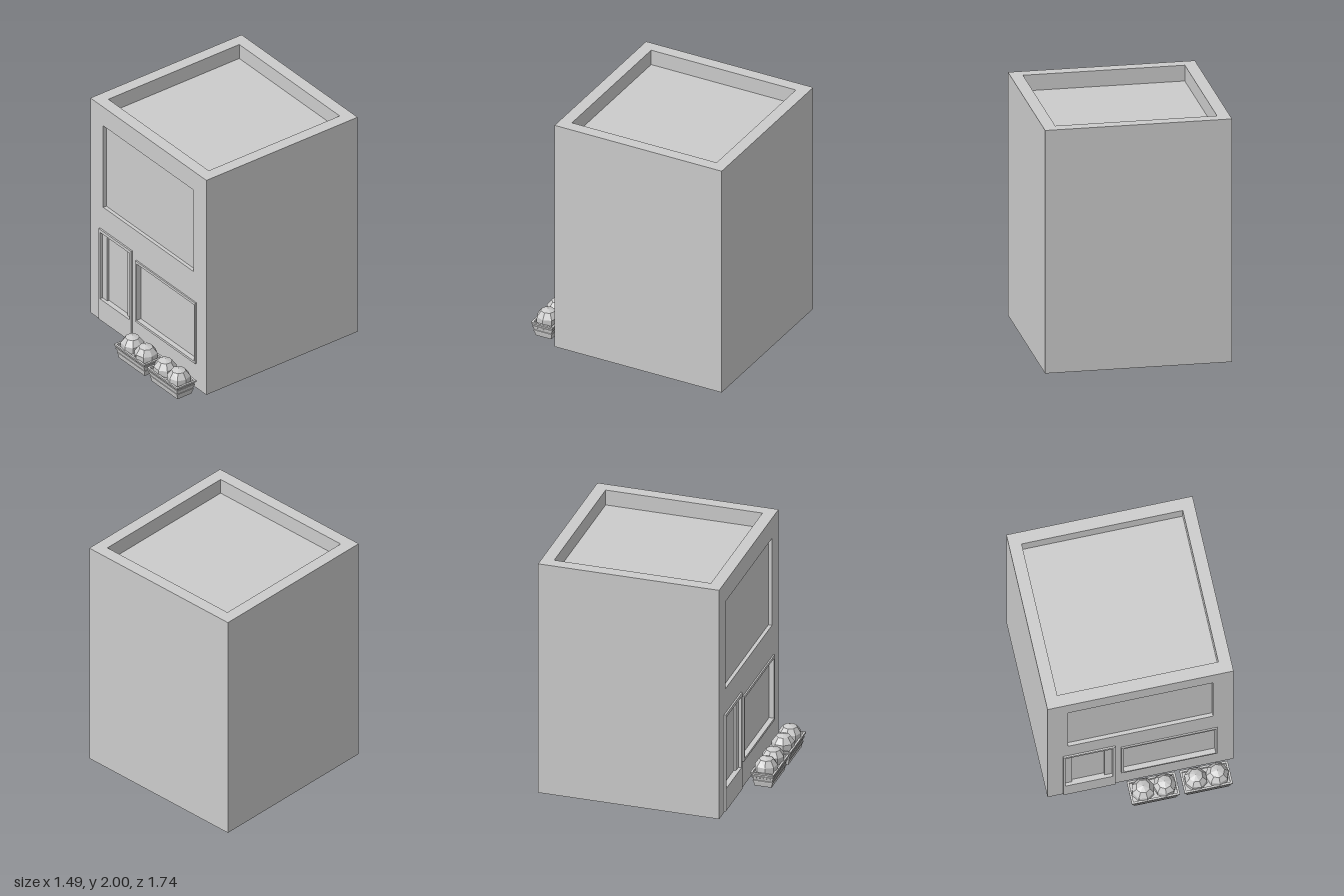
import * as THREE from 'three';

const material = new THREE.MeshStandardMaterial({ color: 0xcccccc, flatShading: true });

function mesh(name, geometry, x = 0, y = 0, z = 0) {
  const m = new THREE.Mesh(geometry, material);
  m.name = name;
  m.position.set(x, y, z);
  return m;
}

// Box given by its limits on each axis
function block(name, x0, x1, y0, y1, z0, z1) {
  return mesh(name, new THREE.BoxGeometry(x1 - x0, y1 - y0, z1 - z0),
    (x0 + x1) / 2, (y0 + y1) / 2, (z0 + z1) / 2);
}

function rect(Type, [x0, x1, y0, y1]) {
  const s = new Type();
  s.moveTo(x0, y0).lineTo(x1, y0).lineTo(x1, y1).lineTo(x0, y1).closePath();
  return s;
}

// Rectangular plate with rectangular openings
function plate(name, outer, holes, z, depth) {
  const s = rect(THREE.Shape, outer);
  holes.forEach(h => s.holes.push(rect(THREE.Path, h)));
  return mesh(name, new THREE.ExtrudeGeometry(s, { depth, bevelEnabled: false }), 0, 0, z);
}

// Rectangular tub lofted from [half width, half depth, height] sections
function tub(sections) {
  const corners = [[1, 1], [1, -1], [-1, -1], [-1, 1]];
  const pos = [];
  const point = ([hx, hz, y], i) => [corners[i % 4][0] * hx, y, corners[i % 4][1] * hz];
  for (let k = 0; k < sections.length - 1; k++) {
    for (let i = 0; i < 4; i++) {
      const a = point(sections[k], i), b = point(sections[k], i + 1);
      const c = point(sections[k + 1], i + 1), d = point(sections[k + 1], i);
      pos.push(...a, ...b, ...c, ...a, ...c, ...d);
    }
  }
  const g = new THREE.BufferGeometry();
  g.setAttribute('position', new THREE.Float32BufferAttribute(pos, 3));
  g.computeVertexNormals();
  return g;
}

// Faceted shrub, gently uneven
function shrub(turn) {
  const g = new THREE.SphereGeometry(0.096, 8, 5);
  const p = g.attributes.position;
  for (let i = 0; i < p.count; i++) {
    const x = p.getX(i), y = p.getY(i), z = p.getZ(i);
    const k = 1 + 0.03 * Math.sin(45 * x + 30 * y + turn * 5) * Math.cos(40 * z);
    p.setXYZ(i, x * k, y, z * k);
  }
  g.rotateY(turn);
  return g;
}

function planter(x, index) {
  const group = new THREE.Group();
  group.name = 'planter' + (index + 1);
  group.position.set(x, 0, 0.768);
  // Ribbed flaring walls, rim, then the inside down to the soil
  const profile = [[0, 0], [0.166, 0], [0.172, 0.035], [0.176, 0.037], [0.177, 0.05],
    [0.174, 0.053], [0.179, 0.075], [0.183, 0.078], [0.184, 0.09], [0.181, 0.092],
    [0.183, 0.107], [0.193, 0.11], [0.193, 0.124], [0.176, 0.124], [0.176, 0.105], [0, 0.105]];
  group.add(mesh('planterTub', tub(profile.map(([h, y]) => [h, h && h - 0.096, y]))));
  [-0.083, 0.09].forEach((dx, i) =>
    group.add(mesh('shrub', shrub(0.2 + index * 0.9 + i * 0.5), dx, 0.13, 0)));
  return group;
}

export function createModel() {
  const model = new THREE.Group();
  const W = 0.745, back = -0.87, skin = 0.59, front = 0.62, roofY = 1.87;
  const upper = [-0.58, 0.58, 1.065, 1.825];
  const lower = [-0.135, 0.60, 0.245, 0.77];
  const door = [-0.605, -0.225, 0.205, 0.825];

  // Building: core, front wall with openings, parapet round the sunken roof
  model.add(block('buildingCore', -W, W, 0, roofY, back, skin));
  model.add(plate('frontWall', [-W, W, 0, 2], [upper, lower, door], skin, front - skin));
  const parapet = plate('roofParapet', [-W, W, -skin, -back], [[-0.645, 0.645, -0.52, 0.77]], 0, 2 - roofY);
  parapet.rotation.x = -Math.PI / 2;
  parapet.position.y = roofY;
  model.add(parapet);

  // Raised surrounds of the shop window and door
  model.add(plate('shopWindowFrame', [-0.155, 0.615, 0.225, 0.793], [lower], front, 0.012));
  model.add(plate('doorFrame', [-0.62, -0.203, 0.01, 0.853], [door], front, 0.014));

  // Door stiles beside the recessed pane
  model.add(block('doorStileRight', -0.605, -0.545, 0.205, 0.825, skin, 0.608));
  model.add(block('doorStileLeft', -0.285, -0.225, 0.205, 0.825, skin, 0.608));

  [0.07, 0.492].forEach((x, i) => model.add(planter(x, i)));
  return model;
}
